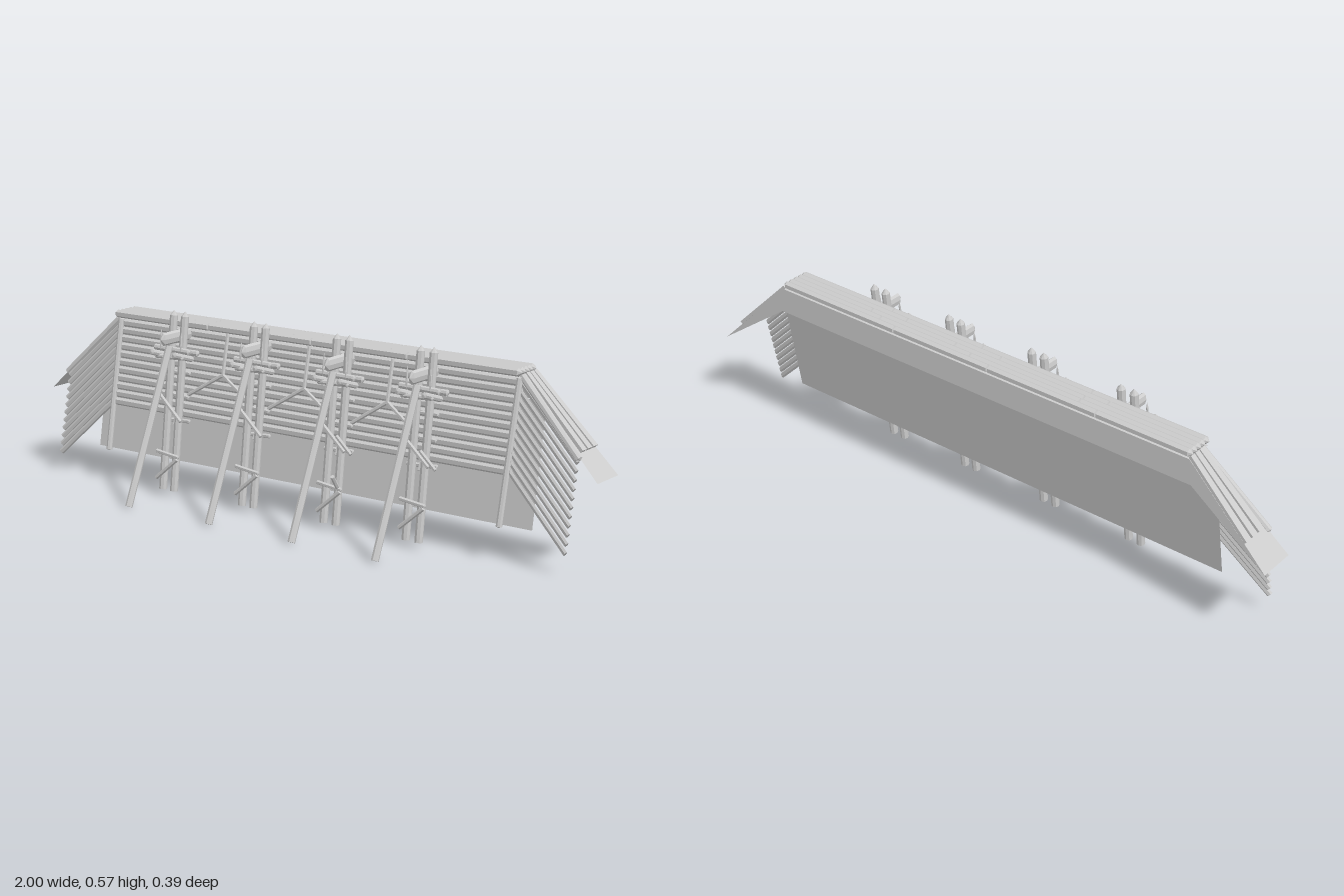
import * as THREE from 'three';

const wood = new THREE.MeshStandardMaterial({ color: 0xcccccc, flatShading: true, side: THREE.DoubleSide });
wood.name = 'grey wood';

// The whole timber face leans back in one plane
const faceZ = (y) => -0.12 + (0.515 - y) * 0.21;

function add(parent, name, geometry) {
  const mesh = new THREE.Mesh(geometry, wood);
  mesh.name = name;
  parent.add(mesh);
  return mesh;
}

// Straight log between two points; tipA and tipB sharpen the ends
function log(parent, name, a, b, r, tipA = 0, tipB = 0, sides = 8) {
  const p = new THREE.Vector3(...a), d = new THREE.Vector3(...b).sub(p);
  const len = d.length();
  const profile = [[0, 0], [r, tipA], [r, len - tipB], [0, len]].map((q) => new THREE.Vector2(...q));
  const mesh = add(parent, name, new THREE.LatheGeometry(profile, sides, Math.PI / 2));
  mesh.position.copy(p);
  mesh.quaternion.setFromUnitVectors(new THREE.Vector3(0, 1, 0), d.normalize());
  return mesh;
}

// Flat sheet fanned from its first corner
function sheet(parent, name, corners) {
  const g = new THREE.BufferGeometry();
  g.setAttribute('position', new THREE.Float32BufferAttribute(corners.flat(), 3));
  const index = [];
  for (let i = 1; i < corners.length - 1; i++) index.push(0, i, i + 1);
  g.setIndex(index);
  g.computeVertexNormals();
  return add(parent, name, g);
}

function addGroup(parent, name) {
  const g = new THREE.Group();
  g.name = name;
  parent.add(g);
  return g;
}

export function createModel() {
  const model = new THREE.Group();
  model.name = 'timberRampart';

  // Backing sheet behind the wall logs
  sheet(model, 'backingSheet', [
    [-0.79, 0.1, -0.062], [0.81, 0.1, -0.062], [0.81, 0.455, -0.122], [-0.79, 0.455, -0.122],
  ]);

  // Horizontal wall logs, slightly flattened
  const wall = addGroup(model, 'wallLogs');
  const rows = 11, pitch = 0.0245;
  for (let i = 0; i < rows; i++) {
    const y = 0.5 - i * pitch;
    log(wall, 'wallLog', [-0.735, y, faceZ(y)], [0.735, y, faceZ(y)], 0.0122, 0, 0, 6).scale.z = 0.75;
  }

  // Walkway sheet, its rear skirt and its round logs, laid in butted lengths
  const deck = addGroup(model, 'walkway');
  sheet(deck, 'walkwaySheet', [
    [-0.74, 0.517, -0.095], [0.74, 0.517, -0.095], [0.74, 0.517, -0.182], [-0.74, 0.517, -0.182],
  ]);
  sheet(deck, 'rearSkirt', [
    [-0.74, 0.517, -0.182], [0.74, 0.517, -0.182], [0.75, 0.44, -0.185], [-0.75, 0.44, -0.185],
  ]);
  const joints = [[-0.36, 0.03, 0.37], [-0.43, -0.05, 0.3], [-0.36, 0.1, 0.42]];
  for (let i = 0; i < 5; i++) {
    const z = -0.097 - i * 0.019;
    const stops = [-0.745, ...joints[i % 3], 0.745];
    for (let k = 0; k < stops.length - 1; k++) {
      log(deck, 'walkwayLog', [stops[k], 0.531, z], [stops[k + 1], 0.531, z], 0.0125,
        k === 0 ? 0.012 : 0.003, k === 3 ? 0.012 : 0.003, 6);
    }
  }

  // Sloping wings at both ends
  for (const s of [-1, 1]) {
    const wing = addGroup(model, s > 0 ? 'leftWing' : 'rightWing');
    const endX = s > 0 ? 0.936 : -0.926;
    sheet(wing, 'wingSheet', [
      [s * 0.74, 0.517, -0.115], [s, 0.262, -0.074], [s, 0.262, -0.191], [s * 0.74, 0.517, -0.182],
    ]);
    sheet(wing, 'wingSkirt', [[s * 0.74, 0.517, -0.182], [s, 0.262, -0.191], [s * 0.75, 0.44, -0.185]]);
    for (let i = 0; i < rows; i++) {
      const y0 = 0.5 - i * pitch, y1 = y0 - 0.19;
      log(wing, 'wingLog', [s * 0.73, y0, faceZ(y0)], [endX, y1, faceZ(y1)], 0.0092, 0, 0, 6).scale.z = 0.6;
    }
    log(wing, 'wingRail', [s * 0.73, 0.522, -0.117], [s * 0.942, 0.316, -0.08], 0.011, 0.006, 0.006);
    // Splayed planks over the slope, tapering towards the top
    for (let k = 0; k < 3; k++) {
      const g = new THREE.BoxGeometry(0.27, 0.01, 1), p = g.attributes.position;
      for (let i = 0; i < p.count; i++) {
        const low = p.getX(i) * s > 0;
        const mid = low ? -0.115 - k * 0.031 : -0.13 - k * 0.021;
        p.setZ(i, mid + p.getZ(i) * (low ? 0.023 : 0.017));
      }
      const plank = add(wing, 'wingPlank', g);
      plank.position.set(s * 0.836, 0.43, 0);
      plank.rotation.z = -s * 0.775;
    }
    // Corner post
    log(model, 'cornerPost', [s * 0.722, 0.1, faceZ(0.1) + 0.003], [s * 0.73, 0.515, faceZ(0.515) + 0.01], 0.0095, 0.003, 0.003);
  }

  // Buttress trestles
  const stations = [-0.452, -0.14, 0.165, 0.455];
  const postZ = (y) => -0.001 - (y - 0.02) * 0.117;
  stations.forEach((x, n) => {
    const t = addGroup(model, 'trestle');
    for (const s of [-1, 1]) {
      const px = x + s * 0.022;
      log(t, 'trestlePost', [px, 0.02, postZ(0.02)], [px, 0.576, postZ(0.576)], 0.0125, 0, 0.016);
      // Binders running front to back beside the posts
      log(t, 'binder', [x + s * 0.044, 0.456, 0.02], [x + s * 0.044, 0.428, -0.07], 0.009, 0.003, 0.003);
      // Thin wedges beside the tie beam
      log(t, 'wedge', [x + s * 0.04, 0.455, -0.019], [x + s * 0.04, 0.522, -0.026], 0.0035, 0.02, 0.02, 6);
    }
    // Narrow tie beam between the posts
    log(t, 'tieBeam', [x, 0.498, 0.026], [x, 0.498, -0.125], 0.02, 0.012, 0).scale.x = 0.5;
    log(t, 'shore', [x, 0.008, 0.186], [x, 0.472, -0.014], 0.0115);
    // Cross logs clamping the trestle head
    log(t, 'clampLog', [x - 0.072, 0.461, -0.03], [x + 0.068, 0.459, -0.03], 0.0095, 0.004, 0.004);
    log(t, 'clampLog', [x - 0.065, 0.446, -0.07], [x + 0.07, 0.449, -0.07], 0.0095, 0.004, 0.004);
    log(t, 'clampLog', [x - 0.055, 0.437, -0.014], [x + 0.055, 0.441, -0.014], 0.007, 0.003, 0.003);
    // Diagonal braces in front of the posts, rungs behind them
    const braces = [
      [-0.04, 0.055, 0.04, 0.125, 1], [0.045, 0.24, -0.045, 0.315, 1],
      [-0.05, 0.233, 0.055, 0.238, -1], [0.045, 0.31, -0.045, 0.315, -1],
      [-0.045, 0.382, 0.045, 0.385, -1], [-0.045, 0.14, 0.045, 0.13, 1],
    ];
    for (const [xa, ya, xb, yb, f] of braces) {
      const off = f * 0.016;
      log(t, 'brace', [x + xa, ya, postZ(ya) + off], [x + xb, yb, postZ(yb) + off], 0.0065, 0.002, 0.002, 6);
    }
    // Loose pegs on the two left-hand trestles
    if (n > 1) log(t, 'loosePeg', [x + 0.015, 0.285, -0.012], [x + 0.068, 0.237, -0.01], 0.006, 0, 0, 6);
    if (n === 2) log(t, 'stub', [x + 0.03, 0.132, 0], [x + 0.035, 0.176, 0.035], 0.0065, 0, 0, 6);
    // Raking strut from the posts back to the wall
    log(t, 'wallStrut', [x, 0.22, postZ(0.22) - 0.01], [x, 0.31, faceZ(0.31)], 0.007, 0, 0, 6);
  });

  // Peaked braces on the wall between trestles
  for (let i = 0; i < 3; i++) {
    const g = addGroup(model, 'peakedBrace');
    const a = stations[i], b = stations[i + 1], m = (a + b) / 2;
    const zf = (y) => faceZ(y) + 0.013;
    log(g, 'peakStrut', [a + 0.03, 0.315, zf(0.315)], [m, 0.391, zf(0.391)], 0.006, 0, 0, 6);
    log(g, 'peakStrut', [b - 0.03, 0.315, zf(0.315)], [m, 0.391, zf(0.391)], 0.006, 0, 0, 6);
    log(g, 'kingPost', [m, 0.385, zf(0.385)], [m, 0.518, zf(0.518)], 0.006, 0, 0, 6);
  }
  return model;
}
